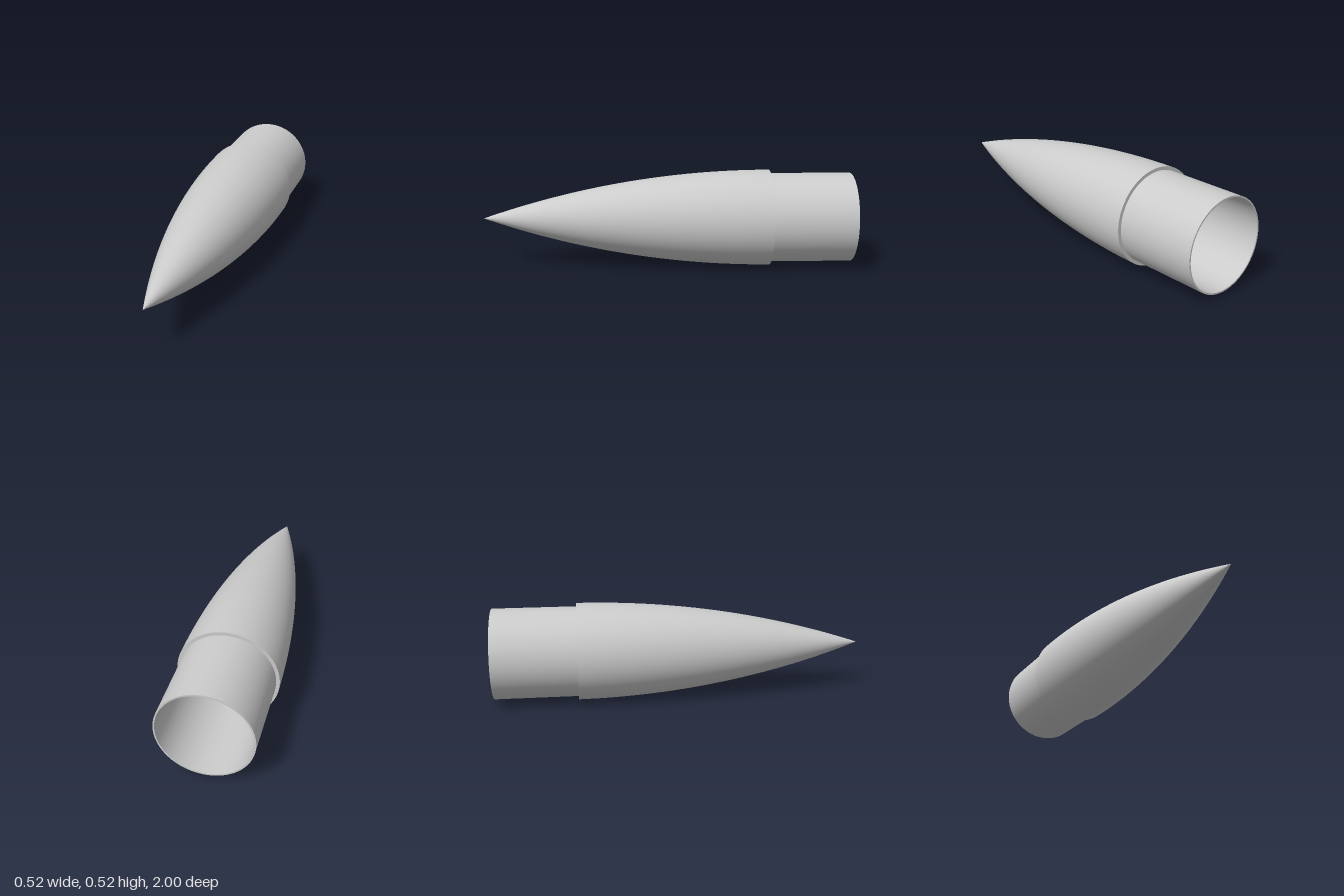
import * as THREE from 'three';

const RADIUS = 0.26;        // widest radius of the nose
const TUBE_OUTER = 0.242;
const TUBE_INNER = 0.234;
const TIP = 1, JOINT = -0.555, BACK = -1;
const SEGMENTS = 128;

// Points of a tangent ogive from its base to its tip
function ogive(radius, base, tip, steps = 48) {
  const length = tip - base;
  const rho = (radius * radius + length * length) / (2 * radius);
  return Array.from({ length: steps + 1 }, (_, i) => {
    const d = (length * i) / steps;
    const r = Math.sqrt(rho * rho - d * d) + radius - rho;
    return new THREE.Vector2(i === steps ? 0 : r, base + d);
  });
}

const line = (r0, z0, r1, z1) => [new THREE.Vector2(r0, z0), new THREE.Vector2(r1, z1)];

export function createModel() {
  const group = new THREE.Group();
  group.name = 'noseCone';
  const material = new THREE.MeshStandardMaterial({ color: 0xcccccc });

  // Each profile (radius, z) is turned about the long axis
  const addPart = (name, points) => {
    const geometry = new THREE.LatheGeometry(points, SEGMENTS);
    geometry.rotateX(Math.PI / 2);
    const mesh = new THREE.Mesh(geometry, material);
    mesh.name = name;
    mesh.position.y = RADIUS;
    group.add(mesh);
  };

  // Hollow ogive shell
  addPart('noseOuter', ogive(RADIUS, JOINT, TIP));
  addPart('noseInner', ogive(TUBE_OUTER, JOINT, TIP - 0.06).reverse());
  addPart('noseBaseLip', line(TUBE_INNER, JOINT, RADIUS, JOINT));

  // Open shoulder tube behind the nose
  addPart('shoulderOuter', line(TUBE_OUTER, BACK, TUBE_OUTER, JOINT));
  addPart('shoulderInner', line(TUBE_INNER, JOINT, TUBE_INNER, BACK));
  addPart('shoulderRim', line(TUBE_INNER, BACK, TUBE_OUTER, BACK));
  addPart('shoulderFrontRim', line(TUBE_OUTER, JOINT, TUBE_INNER, JOINT));

  return group;
}
